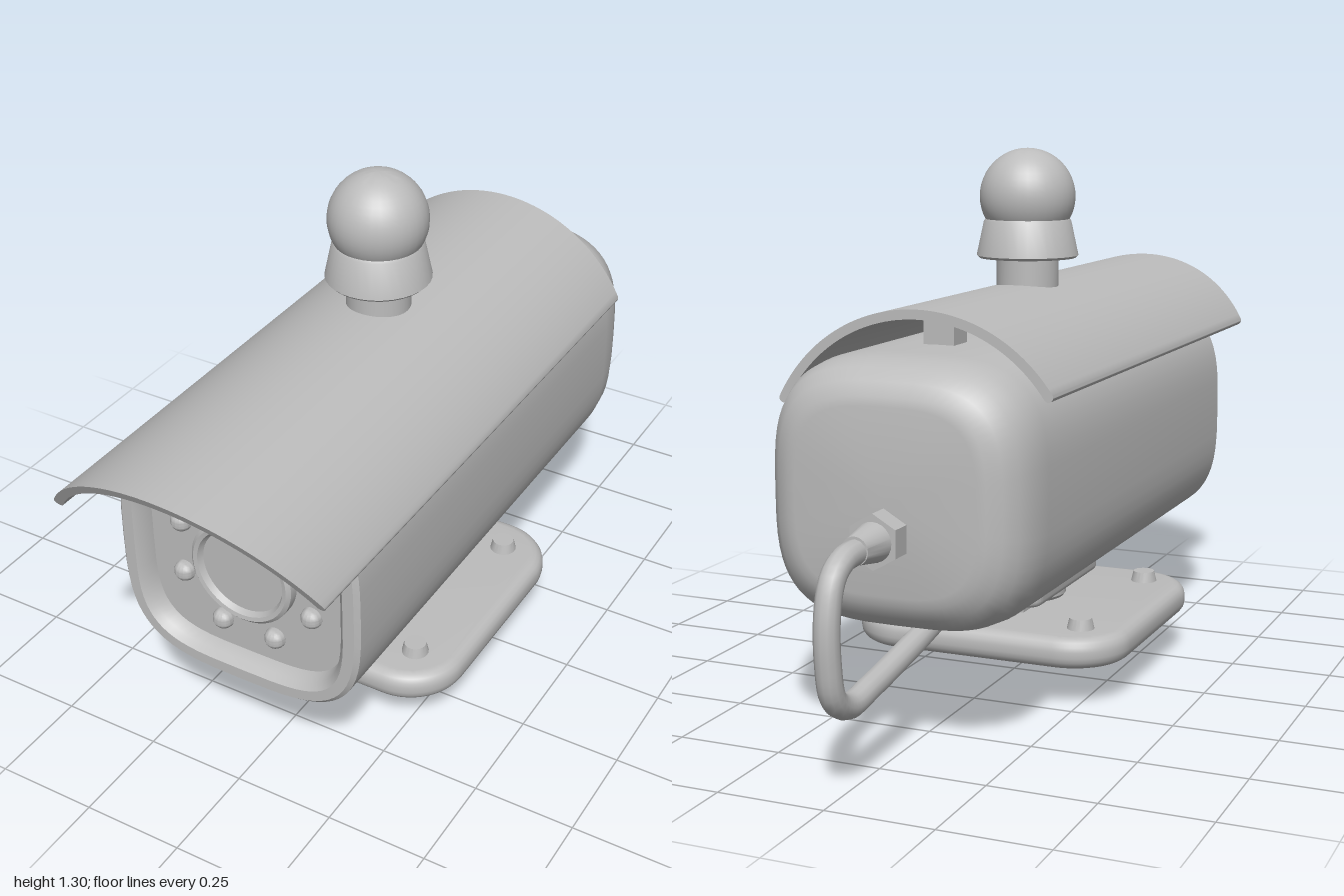
import * as THREE from 'three';
import { toCreasedNormals } from 'three/addons/utils/BufferGeometryUtils.js';

const grey = new THREE.MeshStandardMaterial({ color: 0xbcbcbc });
grey.name = 'matte grey';

const CY = 0.583; // height of the housing axis
const MZ = 0.085; // z of the mount and dome axis

export function createModel() {
  const model = new THREE.Group();

  const add = (name, geometry, x = 0, y = 0, z = 0, crease = 0.6) => {
    const mesh = new THREE.Mesh(toCreasedNormals(geometry, crease), grey);
    mesh.name = name;
    mesh.position.set(x, y, z);
    model.add(mesh);
    return mesh;
  };
  const lathe = (points, segments = 32) =>
    new THREE.LatheGeometry(points.map(p => new THREE.Vector2(...p)), segments);

  // Housing: superellipse rings [z, half width, half height, exponent], from the recess floor to the back
  add('housing', loft([
    [0.67, 0.255, 0.243, 3.9], [0.70, 0.262, 0.25, 3.9], [0.715, 0.276, 0.264, 3.8],
    [0.715, 0.304, 0.292, 3.4], [0.704, 0.315, 0.303, 3.3], [-0.56, 0.315, 0.303, 3.3],
    [-0.62, 0.308, 0.297, 3.3], [-0.665, 0.292, 0.282, 3.3], [-0.695, 0.266, 0.257, 3.3],
    [-0.712, 0.235, 0.226, 3.3], [-0.716, 0.215, 0.206, 3.3],
  ], 64), 0, CY, 0);

  // Lens ring with its glass
  add('lens', lathe([[0.132, 0], [0.132, 0.026], [0.123, 0.034], [0.113, 0.032], [0.106, 0.018], [0, 0.018]], 40)
    .rotateX(Math.PI / 2), 0, CY, 0.668);

  // Eight lamps around the lens
  for (let i = 0; i < 8; i++) {
    const a = (i + 0.5) * Math.PI / 4;
    add('lamp', new THREE.SphereGeometry(0.026, 16, 12), 0.184 * Math.cos(a), CY + 0.184 * Math.sin(a), 0.672);
  }

  // Curved sun visor, front edge cut back towards its sides
  const R = 0.385, t = 0.022, a0 = 0.475, a1 = 2.54;
  const arc = new THREE.Shape();
  arc.absarc(0, 0, R, a0, a1, false);
  arc.absarc((R - t / 2) * Math.cos(a1), (R - t / 2) * Math.sin(a1), t / 2, a1, a1 + Math.PI, false);
  arc.absarc(0, 0, R - t, a1, a0, true);
  arc.absarc((R - t / 2) * Math.cos(a0), (R - t / 2) * Math.sin(a0), t / 2, a0 + Math.PI, a0 + 2 * Math.PI, false);
  const visor = new THREE.ExtrudeGeometry(arc, { depth: 1, bevelEnabled: false, curveSegments: 28 });
  const p = visor.attributes.position;
  for (let i = 0; i < p.count; i++) {
    p.setZ(i, p.getZ(i) > 0.5 ? 1 - (R - p.getY(i)) * 0.52 : -0.55);
  }
  add('visor', visor, 0, 0.592, 0);
  for (const z of [0.4, -0.4]) add('visorSpacer', new THREE.BoxGeometry(0.075, 0.09, 0.07), 0, 0.922, z);

  // Dome on top: neck, flared collar and ball
  add('domeNeck', new THREE.CylinderGeometry(0.077, 0.077, 0.18, 32), 0, 0.96, MZ);
  add('domeCollar', lathe([[0, 1.04], [0.12, 1.04], [0.126, 1.046], [0.108, 1.13], [0.103, 1.137], [0, 1.137]]), 0, 0, MZ);
  add('dome', new THREE.SphereGeometry(0.118, 32, 24), 0, 1.19, MZ);

  // Mount: upper bracket, swivel disc, cable block and base plate
  add('bracket', slab(0.155, 0.218, 0.04, 0.235, 0.31, 0.015), 0, 0, -0.012);
  add('swivel', lathe([[0, 0.175], [0.088, 0.175], [0.098, 0.188], [0.098, 0.222], [0.088, 0.235], [0, 0.235]]), 0, 0, 0.09);
  add('swivelBlock', new THREE.BoxGeometry(0.12, 0.07, 0.11), 0, 0.205, -0.03);
  add('basePlate', slab(0.35, 0.35, 0.145, 0.105, 0.18, 0.03), 0, 0, MZ);
  for (const sx of [-1, 1]) for (const sz of [-1, 1]) {
    add('plateScrew', new THREE.CylinderGeometry(0.027, 0.034, 0.03, 20), sx * 0.235, 0.191, MZ + sz * 0.235);
  }

  // Half ball showing below the plate, with a flat back
  const ball = new THREE.SphereGeometry(0.1, 24, 12, 0, Math.PI, Math.PI / 2, Math.PI / 2).scale(1, 1, 0.55);
  add('pivotBall', ball, 0, 0.105, MZ);
  add('pivotFace', new THREE.CircleGeometry(0.1, 24, 0, Math.PI).rotateX(Math.PI), 0, 0.105, MZ);

  // Cable gland and cable looping back to the bracket
  add('glandNut', new THREE.CylinderGeometry(0.062, 0.062, 0.055, 6).rotateX(Math.PI / 2), 0, 0.51, -0.741);
  add('glandCone', new THREE.CylinderGeometry(0.045, 0.031, 0.085, 24).rotateX(Math.PI / 2), 0, 0.51, -0.806);
  const path = new THREE.CatmullRomCurve3([
    [0.508, -0.83], [0.503, -0.9], [0.475, -0.945], [0.41, -0.969], [0.31, -0.971], [0.225, -0.95],
    [0.19, -0.89], [0.2, -0.79], [0.232, -0.6], [0.268, -0.4], [0.262, -0.29], [0.25, -0.2],
  ].map(([y, z]) => new THREE.Vector3(0, y, z)));
  add('cable', new THREE.TubeGeometry(path, 72, 0.028, 12), 0, 0, 0, 1);

  return model;
}

// Closed skin over superellipse rings, running from front to back
function loft(rings, n) {
  const pos = [], index = [];
  const power = (v, e) => Math.sign(v) * Math.abs(v) ** (2 / e);
  for (const [z, w, h, e] of rings) {
    for (let i = 0; i < n; i++) {
      const a = (i / n) * Math.PI * 2;
      pos.push(w * power(Math.cos(a), e), h * power(Math.sin(a), e), z);
    }
  }
  for (let r = 0; r < rings.length - 1; r++) {
    for (let i = 0; i < n; i++) {
      const j = (i + 1) % n, a = r * n + i, b = r * n + j, c = a + n, d = b + n;
      index.push(a, c, b, b, c, d);
    }
  }
  // End caps
  const last = (rings.length - 1) * n, mid = rings.length * n;
  pos.push(0, 0, rings[0][0], 0, 0, rings[rings.length - 1][0]);
  for (let i = 0; i < n; i++) {
    const j = (i + 1) % n;
    index.push(mid, i, j, mid + 1, last + j, last + i);
  }
  const g = new THREE.BufferGeometry();
  g.setAttribute('position', new THREE.Float32BufferAttribute(pos, 3));
  g.setIndex(index);
  g.computeVertexNormals();
  return g;
}

// Flat rounded plate with soft edges, lying between two heights
function slab(hw, hd, r, y0, y1, bevel) {
  const w = hw - bevel, d = hd - bevel, c = Math.max(r - bevel, 0.01);
  const s = new THREE.Shape();
  s.absarc(w - c, d - c, c, 0, Math.PI / 2, false);
  s.absarc(c - w, d - c, c, Math.PI / 2, Math.PI, false);
  s.absarc(c - w, c - d, c, Math.PI, Math.PI * 1.5, false);
  s.absarc(w - c, c - d, c, Math.PI * 1.5, Math.PI * 2, false);
  return new THREE.ExtrudeGeometry(s, {
    depth: y1 - y0 - 2 * bevel, bevelSize: bevel, bevelThickness: bevel, bevelSegments: 4, curveSegments: 10,
  }).rotateX(-Math.PI / 2).translate(0, y0 + bevel, 0);
}
